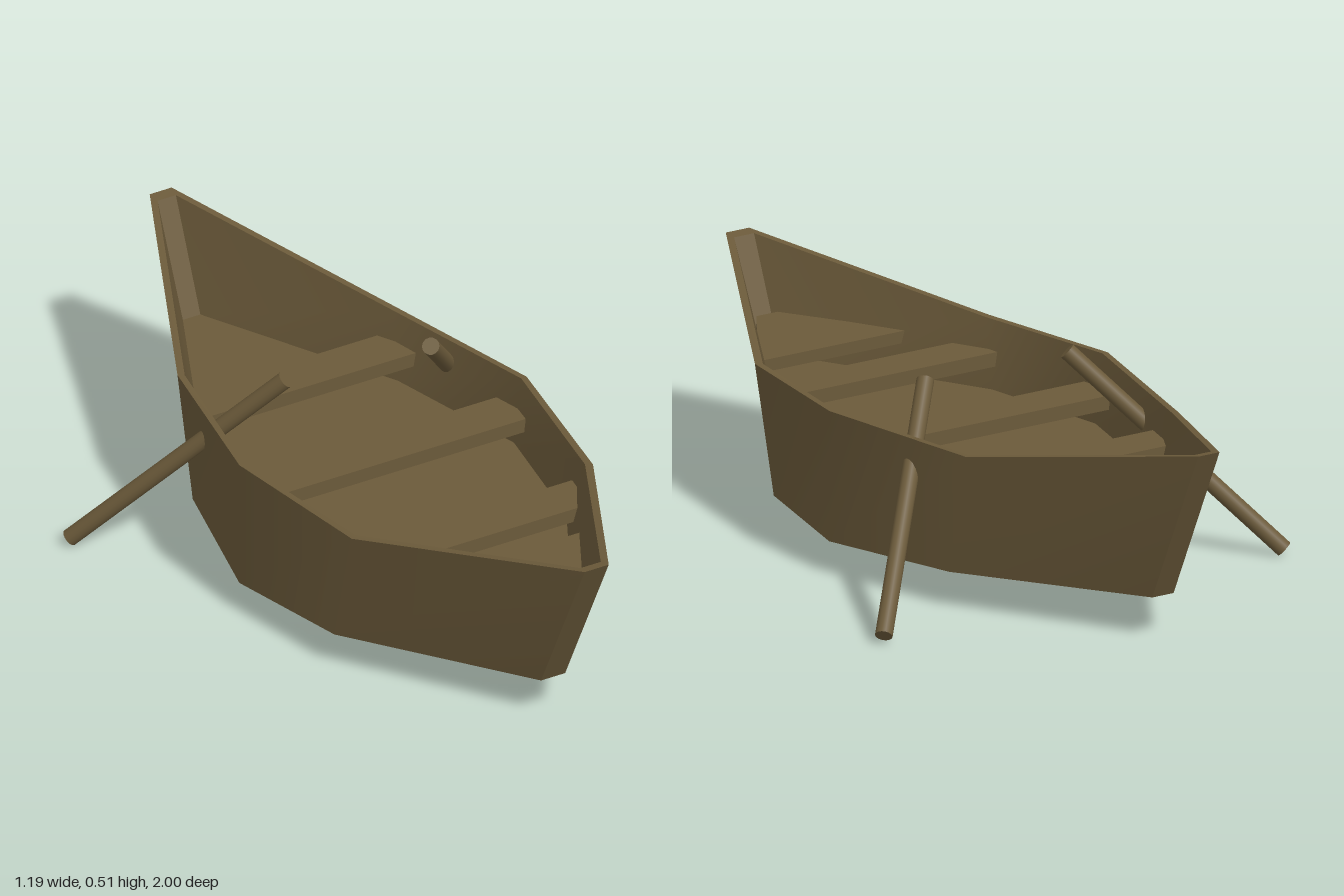
import * as THREE from 'three';
import { toCreasedNormals } from 'three/addons/utils/BufferGeometryUtils.js';

const wood = new THREE.MeshStandardMaterial({ color: 0x6b5a3a });

function mesh(geometry, name) {
  const m = new THREE.Mesh(geometry, wood);
  m.name = name;
  return m;
}

// Five stations [half width, y, z] from bow to stern become a closed, mirrored ring
function ring(stations) {
  const right = stations.map(([x, y, z]) => [-x, y, z]).reverse();
  return [...stations, ...right];
}

// Hull skin: outer walls, gunwale, inner walls, floor and bottom
function hullGeometry() {
  const rings = [
    ring([[0.033, 0.107, 0.8], [0.33, 0.092, 0.35], [0.393, 0.082, 0.02], [0.3, 0.092, -0.35], [0.03, 0.105, -0.805]]),
    ring([[0.033, 0.508, 1], [0.33, 0.396, 0.43], [0.393, 0.405, 0.02], [0.3, 0.396, -0.42], [0.03, 0.508, -1]]),
    ring([[0.028, 0.503, 0.972], [0.314, 0.396, 0.42], [0.378, 0.405, 0.02], [0.286, 0.396, -0.41], [0.025, 0.503, -0.972]]),
    ring([[0.026, 0.235, 0.858], [0.296, 0.235, 0.365], [0.358, 0.235, 0.02], [0.268, 0.235, -0.362], [0.024, 0.235, -0.858]]),
  ];
  const pos = [];
  const quad = (a, b, c, d) => pos.push(...a, ...b, ...c, ...a, ...c, ...d);
  for (let k = 0; k < 3; k++) {
    const lo = rings[k], hi = rings[k + 1], n = lo.length;
    for (let i = 0; i < n; i++) {
      const j = (i + 1) % n;
      quad(lo[i], lo[j], hi[j], hi[i]);
    }
  }
  const bottom = rings[0], floor = rings[3];
  for (let i = 0; i < 4; i++) {
    quad(floor[i], floor[i + 1], floor[8 - i], floor[9 - i]);
    quad(bottom[9 - i], bottom[8 - i], bottom[i + 1], bottom[i]);
  }
  const g = new THREE.BufferGeometry();
  g.setAttribute('position', new THREE.Float32BufferAttribute(pos, 3));
  return toCreasedNormals(g, 0.55);
}

// Flat board between two z positions, with its own half width at each end
function board(z0, w0, z1, w1, name, top = 0.325, thickness = 0.035) {
  const shape = new THREE.Shape([
    new THREE.Vector2(-w0, -z0), new THREE.Vector2(w0, -z0),
    new THREE.Vector2(w1, -z1), new THREE.Vector2(-w1, -z1),
  ]);
  const g = new THREE.ExtrudeGeometry(shape, { depth: thickness, bevelEnabled: false });
  g.rotateX(-Math.PI / 2).translate(0, top - thickness, 0);
  return mesh(g, name);
}

// Round pole between two points
function pole(from, to, radius, name) {
  const a = new THREE.Vector3(...from), b = new THREE.Vector3(...to);
  const dir = b.clone().sub(a);
  const m = mesh(new THREE.CylinderGeometry(radius, radius, dir.length(), 14), name);
  m.position.copy(a).add(b).multiplyScalar(0.5);
  m.quaternion.setFromUnitVectors(new THREE.Vector3(0, 1, 0), dir.normalize());
  return m;
}

export function createModel() {
  const boat = new THREE.Group();
  boat.name = 'rowingBoat';
  boat.add(mesh(hullGeometry(), 'hull'));

  // Seats
  boat.add(
    board(0.48, 0.28, 0.365, 0.332, 'frontSeat'),
    board(0.07, 0.383, -0.05, 0.374, 'middleSeat'),
    board(-0.32, 0.308, -0.435, 0.27, 'rearSeat'),
    board(0.875, 0.03, 0.593, 0.21, 'bowSeat', 0.335, 0.03),
  );

  // Oars resting over the sides
  boat.add(
    pole([0.575, 0.022, -0.485], [0.205, 0.482, -0.105], 0.021, 'leftOar'),
    pole([-0.575, 0.016, -0.455], [-0.175, 0.492, -0.135], 0.021, 'rightOar'),
  );
  return boat;
}
